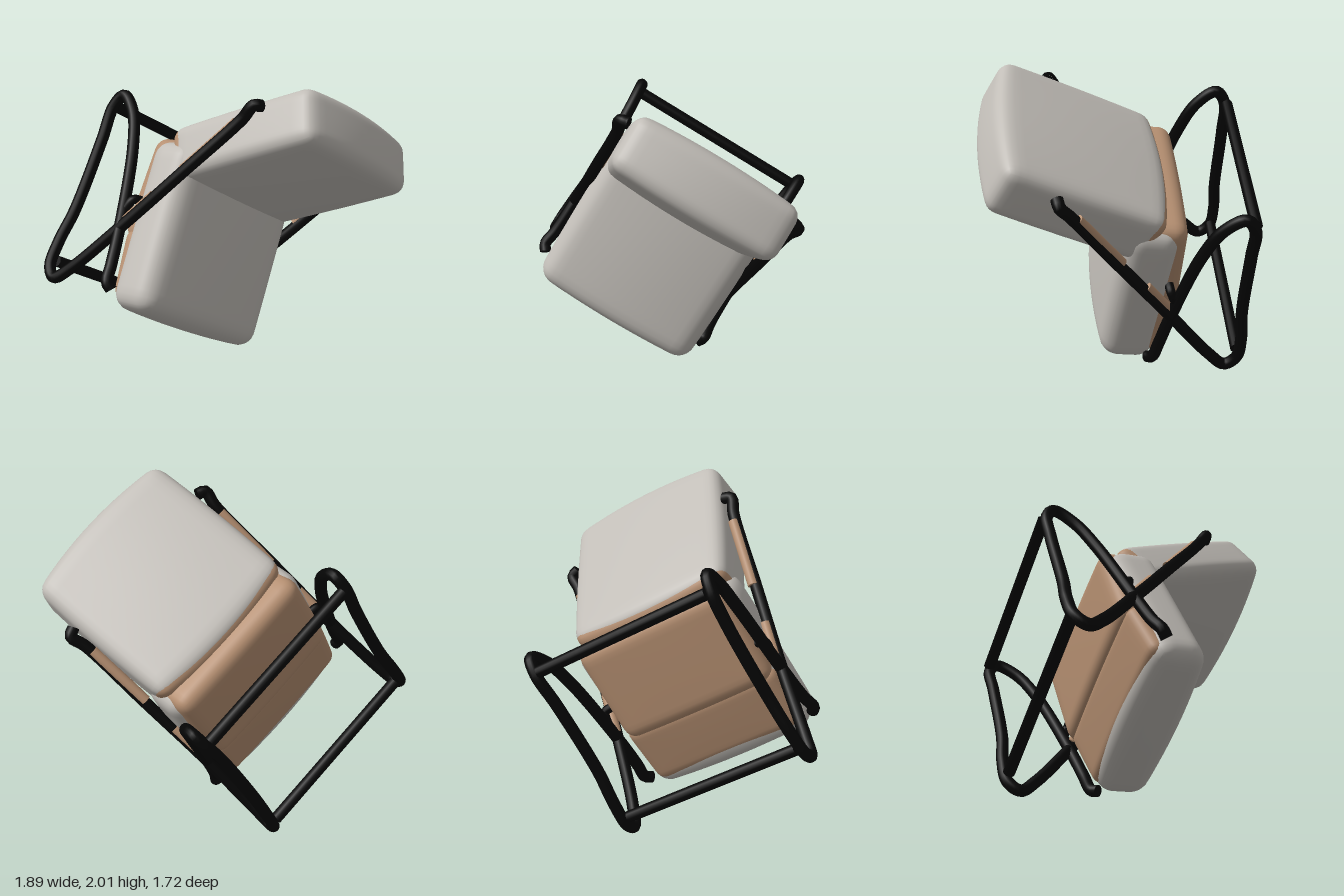
import * as THREE from 'three';
import { mergeVertices } from 'three/addons/utils/BufferGeometryUtils.js';

const mat = (name, color) => {
  const m = new THREE.MeshStandardMaterial({ color });
  m.name = name;
  return m;
};

// Padded block: rounded edges, faces swollen by bulge = [x, y, z]
function cushionGeometry(w, h, d, r, bulge) {
  let geo = new THREE.BoxGeometry(w, h, d, 22, 22, 22);
  geo.deleteAttribute('uv');
  geo.deleteAttribute('normal');
  geo = mergeVertices(geo, 1e-5);
  const half = new THREE.Vector3(w / 2, h / 2, d / 2);
  const limit = half.clone().subScalar(r);
  const pos = geo.attributes.position;
  const p = new THREE.Vector3(), inner = new THREE.Vector3();
  const spread = (t) => Math.sin(Math.max(-1, Math.min(1, t)) * Math.PI / 2);
  for (let i = 0; i < pos.count; i++) {
    p.fromBufferAttribute(pos, i).divide(half);
    p.set(spread(p.x), spread(p.y), spread(p.z)).multiply(half);
    inner.copy(p).clamp(limit.clone().negate(), limit);
    p.sub(inner).setLength(r).add(inner);
    const a = p.x / half.x, b = p.y / half.y, c = p.z / half.z;
    const A = 1 - a * a, B = 1 - b * b, C = 1 - c * c;
    p.x += bulge[0] * a * C * (0.5 + 0.5 * B);
    p.y += bulge[1] * b * A * (0.5 + 0.5 * C);
    p.z += bulge[2] * c * A * (0.75 + 0.25 * B);
    pos.setXYZ(i, p.x, p.y, p.z);
  }
  geo.computeVertexNormals();
  return geo;
}

// Round tube with flat end caps through [x, y, z] points
function rod(name, points, radius, material, segments) {
  const group = new THREE.Group();
  group.name = name;
  const curve = new THREE.CatmullRomCurve3(points.map((q) => new THREE.Vector3(...q)), false, 'centripetal');
  group.add(new THREE.Mesh(new THREE.TubeGeometry(curve, segments, radius, 14), material));
  for (const t of [0, 1]) {
    const cap = new THREE.Mesh(new THREE.CircleGeometry(radius, 14), material);
    const out = curve.getTangentAt(t).multiplyScalar(t ? 1 : -1);
    cap.position.copy(curve.getPointAt(t));
    cap.quaternion.setFromUnitVectors(new THREE.Vector3(0, 0, 1), out);
    group.add(cap);
  }
  group.children.forEach((m) => { m.name = name + 'Part'; });
  return group;
}

export function createModel() {
  const fabric = mat('grey fabric', 0xc1bdb7);
  const shell = mat('tan shell', 0xb58f71);
  const metal = mat('black metal', 0x050505);

  const model = new THREE.Group();
  model.name = 'tiltedLoungeChair';
  const chair = new THREE.Group();
  chair.name = 'chair';
  chair.rotation.z = -Math.PI / 6;
  chair.position.set(-0.418, 0.2415, 0);
  model.add(chair);

  const pad = (name, size, r, bulge, y, z, tilt, material) => {
    const mesh = new THREE.Mesh(cushionGeometry(...size, r, bulge), material);
    mesh.name = name;
    mesh.position.set(0, y, z);
    mesh.rotation.x = tilt;
    chair.add(mesh);
    return mesh;
  };

  // Cushions
  pad('lowerCushion', [1.16, 1.11, 0.34], 0.11, [0.01, 0.02, 0.045], 0.68, -0.148, -0.12, fabric);
  const upper = pad('upperCushion', [1.12, 0.36, 1.07], 0.08, [0.015, 0.035, 0.06], 1.378, 0.277, -0.45, fabric);

  // Tan shell behind the cushions
  pad('upperBackPanel', [1.09, 0.7, 0.3], 0.09, [0.005, 0.01, 0.015], 0.895, -0.257, -0.04, shell);
  pad('lowerBackPanel', [1.1, 0.46, 0.18], 0.07, [0.005, 0, 0.015], 0.4, -0.235, -0.2, shell);
  const rim = new THREE.Mesh(cushionGeometry(1.1, 0.34, 0.16, 0.07, [0.01, 0.03, 0.06]), shell);
  rim.name = 'upperCushionBacking';
  rim.position.z = -0.467;
  upper.add(rim);

  // Bent side frames, mirrored
  const sidePath = [
    [0.61, 0.2, -0.215], [0.64, 0.235, -0.245], [0.625, 0.34, -0.28], [0.615, 0.56, -0.335],
    [0.615, 1.1, -0.49], [0.625, 1.33, -0.605], [0.635, 1.42, -0.73], [0.63, 1.33, -0.795],
    [0.615, 1.1, -0.8], [0.615, 0.6, -0.8], [0.63, 0.37, -0.82], [0.64, 0.2, -0.805],
    [0.64, 0.135, -0.73], [0.63, 0.23, -0.62], [0.615, 0.6, -0.33], [0.615, 1.05, 0.015],
    [0.615, 1.46, 0.325], [0.635, 1.55, 0.39], [0.58, 1.57, 0.405],
  ];
  for (const [side, s] of [['left', 1], ['right', -1]]) {
    const flip = (pts) => pts.map(([x, y, z]) => [x * s, y, z]);
    chair.add(rod(side + 'Frame', flip(sidePath), 0.039, metal, 220));
    chair.add(rod(side + 'Bracket', flip([[0.53, 0.8, -0.32], [0.6, 0.785, -0.33], [0.61, 0.7, -0.365]]), 0.03, metal, 16));
    // Tan lining peeking out along the long bar
    chair.add(rod(side + 'UpperLining', flip([[0.605, 1.06, -0.005], [0.605, 1.43, 0.28]]), 0.034, shell, 4));
    chair.add(rod(side + 'LowerLining', flip([[0.605, 0.63, -0.335], [0.605, 0.85, -0.167]]), 0.034, shell, 4));
  }

  // Rear crossbars
  for (const [name, y] of [['upperCrossbar', 1.34], ['lowerCrossbar', 0.24]]) {
    chair.add(rod(name, [[-0.6, y, -0.805], [0.6, y, -0.805]], 0.038, metal, 4));
  }
  return model;
}
